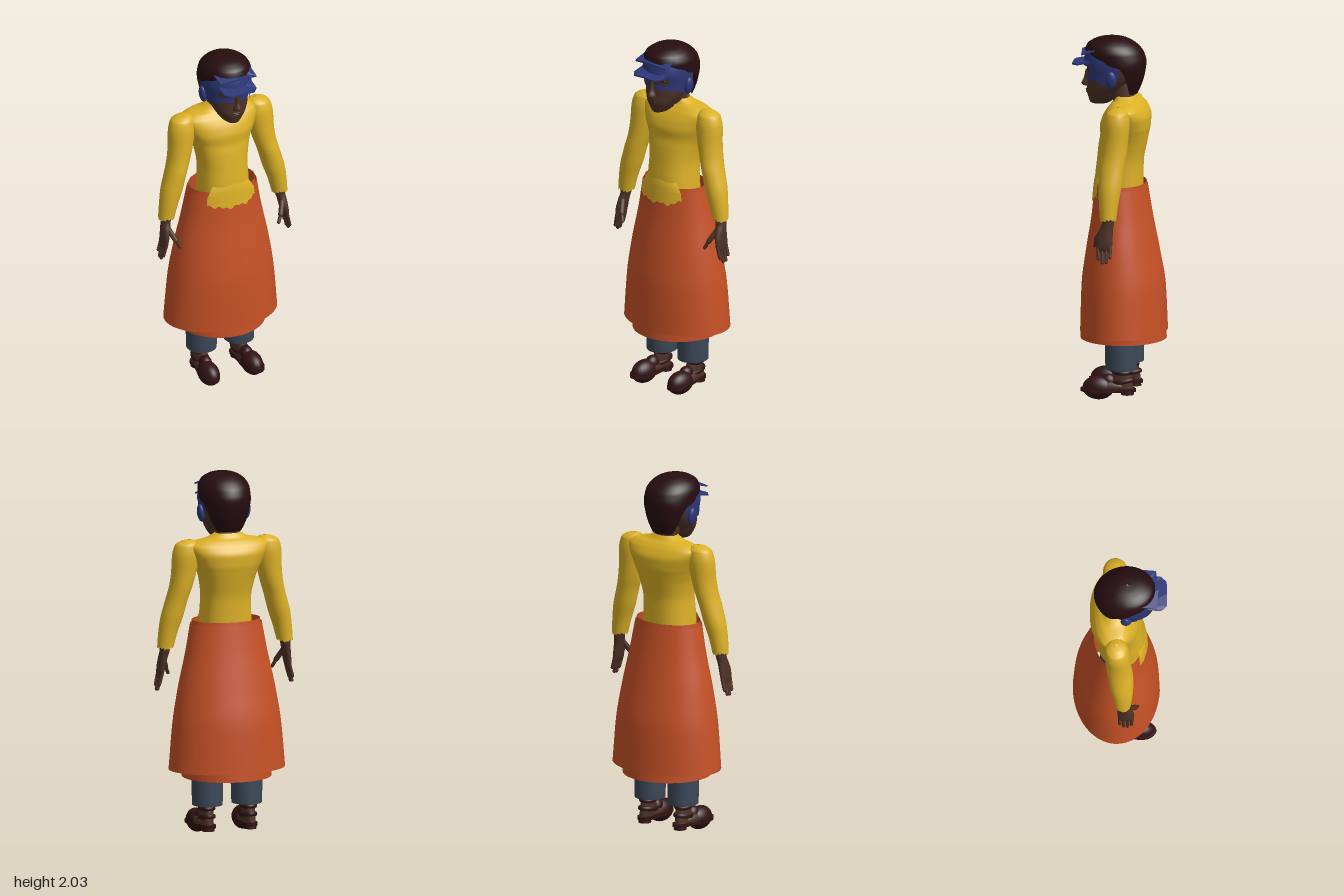
import * as THREE from 'three';
import { mergeVertices } from 'three/addons/utils/BufferGeometryUtils.js';

const mat = (name, color, side = THREE.FrontSide) => {
  const m = new THREE.MeshStandardMaterial({ color, side });
  m.name = name;
  return m;
};

// Monotone cubic interpolation of column k of the sections at height y
function sample(S, k, y) {
  const n = S.length - 1, v = (i) => S[i][k] ?? 0;
  let i = 0;
  while (i < n - 1 && y > S[i + 1][0]) i++;
  const d = (j) => (v(j + 1) - v(j)) / (S[j + 1][0] - S[j][0]);
  const slope = (j) => {
    if (j === 0) return d(0);
    if (j === n) return d(n - 1);
    const a = d(j - 1), b = d(j);
    return a * b <= 0 ? 0 : (2 * a * b) / (a + b);
  };
  const h = S[i + 1][0] - S[i][0], t = Math.min(1, Math.max(0, (y - S[i][0]) / h));
  const t2 = t * t, t3 = t2 * t;
  return v(i) * (2 * t3 - 3 * t2 + 1) + v(i + 1) * (3 * t2 - 2 * t3)
    + h * (slope(i) * (t3 - 2 * t2 + t) + slope(i + 1) * (t3 - t2));
}

// Surface through oval sections [y, halfWidth, zFront, zBack, xCentre]; angle 0 faces the front
function loft(S, { from = -Math.PI, to = Math.PI, lo, hi, p = 1, off = 0, seg = 48, sx = 1 } = {}) {
  const Y = [], y0 = S[0][0], y1 = S[S.length - 1][0], pos = [], idx = [];
  for (let i = 0; i < S.length - 1; i++)
    for (let j = 0; j < 5; j++) Y.push(S[i][0] + ((S[i + 1][0] - S[i][0]) * j) / 5);
  Y.push(y1);
  const pw = (c) => Math.sign(c) * Math.abs(c) ** p;
  Y.forEach((row, r) => {
    for (let j = 0; j <= seg; j++) {
      const a = from + ((to - from) * j) / seg;
      const a0 = lo ? lo(a) : y0, a1 = hi ? hi(a) : y1;
      const y = a0 + ((a1 - a0) * (row - y0)) / (y1 - y0);
      const rx = sample(S, 1, y) + off, f = sample(S, 2, y) + off, b = sample(S, 3, y) - off;
      pos.push(sx * sample(S, 4, y) + rx * pw(Math.sin(a)), y, (f + b) / 2 + ((f - b) / 2) * pw(Math.cos(a)));
      if (r && j) {
        const q = r * (seg + 1) + j, w = q - seg - 1;
        idx.push(w - 1, w, q, w - 1, q, q - 1);
      }
    }
  });
  const g = new THREE.BufferGeometry();
  g.setAttribute('position', new THREE.Float32BufferAttribute(pos, 3));
  g.setIndex(idx);
  const m = mergeVertices(g, 1e-5);
  m.computeVertexNormals();
  return m;
}

const HEAD = [[1.615, 0.012, 0.15, 0.09], [1.625, 0.04, 0.168, 0.06], [1.65, 0.065, 0.176, 0.03], [1.69, 0.09, 0.186, 0],
  [1.73, 0.108, 0.183, -0.04], [1.79, 0.12, 0.182, -0.09], [1.85, 0.126, 0.188, -0.1], [1.92, 0.115, 0.175, -0.09], [1.96, 0.07, 0.12, -0.04]];
const HAIR = [[1.66, 0.075, 0.04, -0.085], [1.7, 0.1, 0.1, -0.107], [1.78, 0.128, 0.14, -0.135], [1.86, 0.143, 0.175, -0.146],
  [1.91, 0.142, 0.196, -0.132], [1.95, 0.125, 0.185, -0.1], [1.98, 0.088, 0.145, -0.055], [1.995, 0.045, 0.095, -0.01], [2, 0.003, 0.045, 0.035]];
const TORSO = [[1.1, 0.147, 0.138, -0.125], [1.2, 0.142, 0.137, -0.127], [1.3, 0.138, 0.127, -0.13], [1.4, 0.153, 0.116, -0.148],
  [1.46, 0.172, 0.106, -0.16], [1.5, 0.19, 0.107, -0.167], [1.55, 0.212, 0.094, -0.168], [1.6, 0.23, 0.066, -0.146],
  [1.63, 0.19, 0.04, -0.12], [1.645, 0.12, 0.028, -0.1], [1.67, 0.07, 0.02, -0.082]];
const SLEEVE = [[1.035, 0.045, 0.054, -0.037, 0.35], [1.12, 0.053, 0.062, -0.046, 0.335], [1.22, 0.062, 0.068, -0.062, 0.31],
  [1.3, 0.061, 0.068, -0.07, 0.288], [1.38, 0.064, 0.06, -0.08, 0.265], [1.46, 0.07, 0.055, -0.086, 0.25],
  [1.55, 0.077, 0.05, -0.092, 0.24], [1.61, 0.066, 0.036, -0.084, 0.235], [1.633, 0.04, 0.01, -0.06, 0.225], [1.641, 0.005, -0.02, -0.03, 0.22]];
const HAND = [[0.855, 0.004, 0.06, -0.01, 0.38], [0.88, 0.015, 0.07, -0.017, 0.376], [0.92, 0.02, 0.072, -0.02, 0.37],
  [0.97, 0.024, 0.06, -0.02, 0.362], [1.02, 0.028, 0.042, -0.025, 0.353], [1.07, 0.034, 0.045, -0.027, 0.347]];
const SKIRT = [[0.345, 0.331, 0.218, -0.262], [0.6, 0.308, 0.211, -0.25], [0.8, 0.276, 0.186, -0.216],
  [1, 0.233, 0.155, -0.178], [1.16, 0.204, 0.14, -0.152]];
const UNDERSKIRT = [[0.3, 0.25, 0.219, -0.258], [0.6, 0.25, 0.205, -0.244], [0.8, 0.24, 0.18, -0.21],
  [1, 0.215, 0.149, -0.172], [1.18, 0.194, 0.133, -0.146]];
const TROUSER = [[0.14, 0.05, 0.025, -0.075, 0.115], [0.142, 0.084, 0.062, -0.112, 0.115], [0.3, 0.088, 0.065, -0.112, 0.115],
  [0.6, 0.088, 0.07, -0.11, 0.11], [0.95, 0.09, 0.08, -0.11, 0.1]];

export function createModel() {
  const root = new THREE.Group();
  root.name = 'standingPerson';
  const skin = mat('brown skin', 0x4c3126), dark = mat('dark hair', 0x260d0f, THREE.DoubleSide);
  const yellow = mat('yellow shirt', 0xdcb126, THREE.DoubleSide), orange = mat('orange skirt', 0xc65126, THREE.DoubleSide);
  const blue = mat('blue visor', 0x2d3778, THREE.DoubleSide), slate = mat('slate trousers', 0x3c4858);
  const leather = mat('dark leather', 0x321314), lip = mat('lip brown', 0x3a2019);
  const add = (name, g, m, parent = root) => {
    const o = new THREE.Mesh(g, m);
    o.name = name;
    parent.add(o);
    return o;
  };
  const ball = (name, m, p, r, parent) => {
    const o = add(name, new THREE.SphereGeometry(1, 24, 16), m, parent);
    o.position.set(...p);
    o.scale.set(...r);
    return o;
  };
  // Rounded bar between two points
  const bar = (name, m, a, b, r, parent) => {
    const A = new THREE.Vector3(...a), B = new THREE.Vector3(...b), d = B.clone().sub(A);
    const o = add(name, new THREE.CapsuleGeometry(r, d.length(), 6, 12), m, parent);
    o.position.copy(A).add(B).multiplyScalar(0.5);
    o.quaternion.setFromUnitVectors(new THREE.Vector3(0, 1, 0), d.normalize());
    return o;
  };
  const ragged = (a) => 0.006 * Math.sin(a * 13) + 0.005 * Math.sin(a * 29 + 1);

  // Head, neck and face
  add('head', loft(HEAD), skin);
  add('neck', loft([[1.6, 0.062, 0.02, -0.085], [1.66, 0.06, 0.05, -0.08], [1.74, 0.065, 0.09, -0.07]]), skin);
  add('nose', loft([[1.712, 0.008, 0.19, 0.15], [1.718, 0.024, 0.21, 0.14], [1.728, 0.023, 0.216, 0.14],
    [1.76, 0.013, 0.203, 0.14], [1.81, 0.009, 0.192, 0.14]], { seg: 20 }), skin);
  ball('upperLip', lip, [0, 1.695, 0.18], [0.03, 0.006, 0.012]);
  ball('lowerLip', lip, [0, 1.683, 0.178], [0.025, 0.007, 0.012]);
  const smooth = THREE.MathUtils.smoothstep;
  add('hair', loft(HAIR, {
    lo: (a) => { const t = Math.abs(a); return 1.915 - 0.07 * smooth(t, 0.6, 1.7) - 0.165 * smooth(t, 1.7, 2.3); }, seg: 64,
  }), dark);

  // Visor: band, brims, temple pieces and cheek strips
  add('visorBand', loft(HEAD, { from: -1.9, to: 1.9, lo: () => 1.838, hi: (a) => 1.925 - 0.03 * smooth(Math.abs(a), 0.8, 1.9), off: 0.014 }), blue);
  const brim = (name, pts, y, drop) => {
    const g = new THREE.ExtrudeGeometry(new THREE.Shape(pts.map((q) => new THREE.Vector2(...q))), { depth: 0.008, bevelEnabled: false });
    g.rotateX(Math.PI / 2);
    const P = g.attributes.position;
    for (let i = 0; i < P.count; i++) P.setY(i, P.getY(i) + y - drop * (P.getZ(i) - 0.15) - 1.2 * P.getX(i) ** 2);
    g.computeVertexNormals();
    add(name, g, blue);
  };
  brim('lowerBrim', [[-0.1, 0.1], [0, 0.1], [0.1, 0.1], [0.1, 0.225], [0.07, 0.258], [0, 0.26], [-0.07, 0.258], [-0.1, 0.225]], 1.882, 0.22);
  brim('upperBrim', [[-0.112, 0.09], [0, 0.09], [0.112, 0.09], [0.112, 0.2], [0, 0.212], [-0.112, 0.2]], 1.943, 0.3);

  // Shirt body and the hem hanging over the skirt
  add('shirtBody', loft(TORSO, { p: 0.85 }), yellow);
  add('shirtHem', loft(SKIRT, {
    from: -0.75, to: 0.75, off: 0.006, lo: (a) => 1.085 + 0.07 * Math.abs(a) ** 3 + ragged(a), hi: () => 1.158,
  }), yellow);
  add('shirtWaist', loft([[1.155, 0.208, 0.146, -0.15], [1.185, 0.185, 0.143, -0.14], [1.22, 0.15, 0.136, -0.127]],
    { from: -0.75, to: 0.75 }), yellow);

  // Wrapped skirt in two layers
  add('outerSkirt', loft(SKIRT, { seg: 72 }), orange);
  add('underSkirt', loft(UNDERSKIRT, { seg: 72 }), orange);

  for (const s of [1, -1]) {
    const side = s > 0 ? 'left' : 'right';
    const angles = (a, b) => (s > 0 ? { from: a, to: b } : { from: -b, to: -a });

    // Eye, brow and the visor side pieces
    ball(side + 'Eye', dark, [s * 0.054, 1.818, 0.161], [0.022, 0.008, 0.012]);
    bar(side + 'Brow', dark, [s * 0.03, 1.835, 0.18], [s * 0.085, 1.834, 0.142], 0.005);
    add(side + 'CheekStrip', loft(HEAD, { ...angles(0.16, 0.85), lo: () => 1.766, hi: (a) => 1.797 + ragged(a) * 0.4, off: 0.005, seg: 16 }), blue);
    add(side + 'TemplePiece', loft(HEAD, { ...angles(0.8, 1.95), lo: (a) => 1.762 - 0.022 * smooth(Math.abs(a), 1.2, 1.5) + ragged(a) * 0.5, hi: () => 1.85, off: 0.012, seg: 24 }), blue);
    ball(side + 'EarCover', blue, [s * 0.134, 1.775, 0.03], [0.02, 0.05, 0.03]).rotation.z = -s * 0.12;

    // Arm and hand
    const arm = new THREE.Group();
    arm.name = side + 'Arm';
    root.add(arm);
    add('sleeve', loft(SLEEVE, { sx: s, lo: (a) => 1.035 + ragged(a), seg: 32 }), yellow, arm);
    add('hand', loft(HAND, { sx: s, seg: 24 }), skin, arm);
    [[0.062, 0.822], [0.038, 0.8], [0.014, 0.803], [-0.009, 0.83]].forEach(([z, y], i) =>
      bar('finger' + (i + 1), skin, [s * 0.374, 0.89, z], [s * (0.39 + (0.83 - y) * 0.1), y, z * 0.9], 0.0095, arm));
    bar('thumbBase', skin, [s * 0.352, 0.975, 0.04], [s * 0.325, 0.915, 0.077], 0.015, arm);
    bar('thumbTip', skin, [s * 0.325, 0.915, 0.077], [s * 0.306, 0.876, 0.09], 0.01, arm);

    // Leg, foot and sandal
    const leg = new THREE.Group();
    leg.name = side + 'Leg';
    root.add(leg);
    add('trouserLeg', loft(TROUSER, { sx: s, seg: 32 }), slate, leg);
    add('ankle', loft([[0.035, 0.035, 0.03, -0.095, 0.125], [0.08, 0.036, 0.03, -0.09, 0.122], [0.16, 0.036, 0.005, -0.075, 0.118]],
      { sx: s, seg: 24 }), skin, leg);
    ball('foot', skin, [s * 0.13, 0.045, 0.05], [0.045, 0.038, 0.12], leg);
    const outline = new THREE.Shape(new THREE.SplineCurve([[0.12, -0.108], [0.16, -0.08], [0.165, 0], [0.19, 0.1], [0.18, 0.165],
      [0.14, 0.198], [0.1, 0.17], [0.078, 0.1], [0.085, 0], [0.085, -0.08], [0.12, -0.108]]
      .map(([x, z]) => new THREE.Vector2(s * x, z))).getPoints(48));
    const sole = new THREE.ExtrudeGeometry(outline, { depth: 0.02, bevelEnabled: false });
    sole.rotateX(Math.PI / 2).translate(0, 0.036, 0);
    add('sole', sole, leather, leg);
    add('heel', new THREE.CylinderGeometry(0.034, 0.036, 0.022, 20), leather, leg).position.set(s * 0.123, 0.011, -0.062);
    ball('sandalUpper', leather, [s * 0.134, 0.036, 0.1], [0.056, 0.066, 0.088], leg);
    ball('instep', leather, [s * 0.126, 0.07, 0.045], [0.036, 0.045, 0.045], leg);
    for (const [y, z, r, tilt] of [[0.075, -0.03, 0.058, 0.15], [0.125, -0.034, 0.042, 0]]) {
      const strap = add('strap', new THREE.TorusGeometry(r, 0.008, 8, 28), leather, leg);
      strap.position.set(s * 0.122, y, z);
      strap.rotation.x = Math.PI / 2 + tilt;
      strap.scale.set(r > 0.05 ? 0.72 : 0.95, 1.1, 1.5);
    }
  }
  return root;
}
